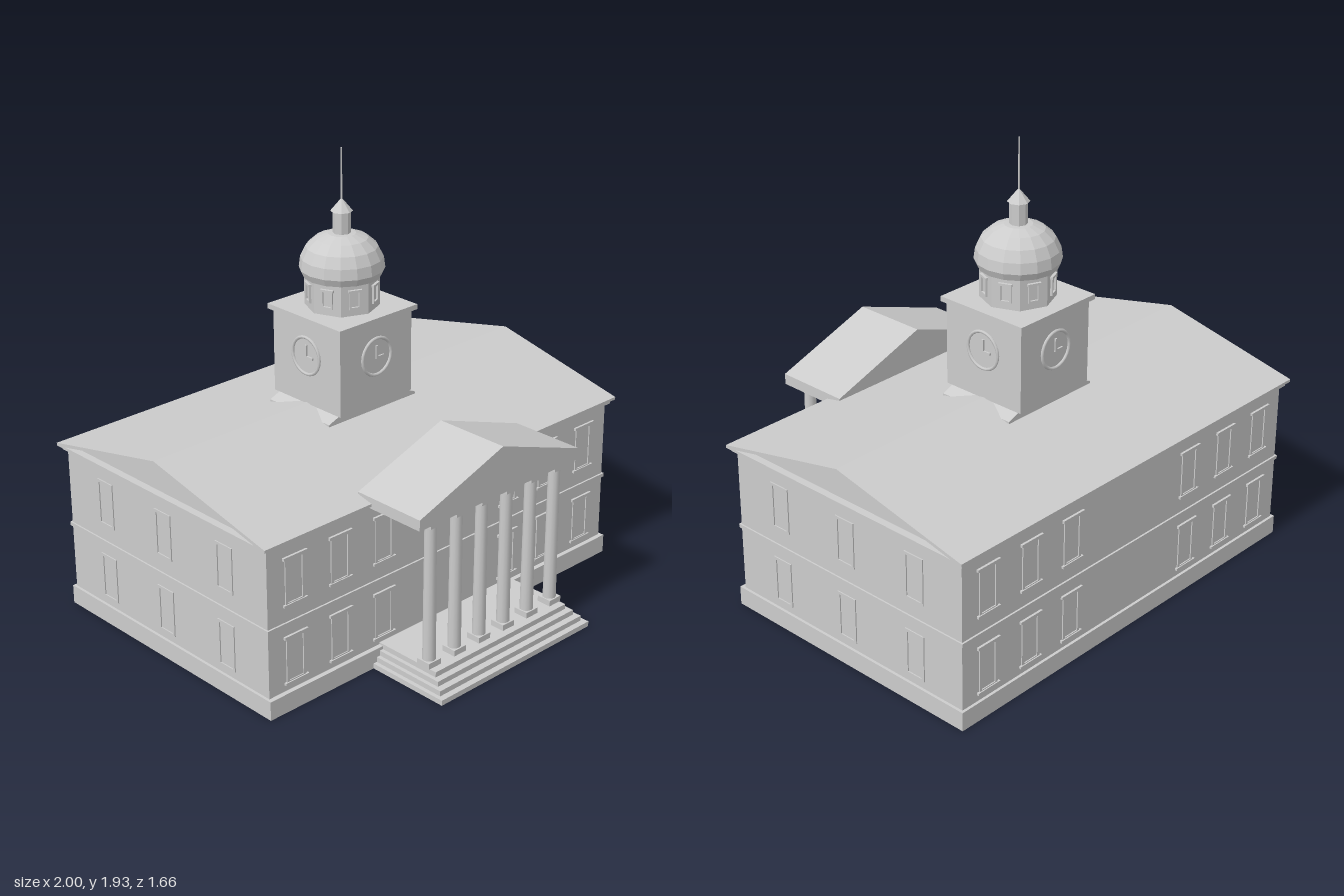
import * as THREE from 'three';

const CZ = -0.185; // z of ridge and tower axis

export function createModel() {
  const root = new THREE.Group();
  root.name = 'courthouse';
  const stone = new THREE.MeshStandardMaterial({ color: 0xcccccc });
  stone.name = 'pale stone';

  const add = (name, geo, x = 0, y = 0, z = 0, parent = root) => {
    const mesh = new THREE.Mesh(geo, stone);
    mesh.name = name;
    mesh.position.set(x, y, z);
    parent.add(mesh);
    return mesh;
  };
  // box given by its ranges
  const block = (name, x0, x1, y0, y1, z0, z1, parent = root) =>
    add(name, new THREE.BoxGeometry(x1 - x0, y1 - y0, z1 - z0),
      (x0 + x1) / 2, (y0 + y1) / 2, (z0 + z1) / 2, parent);
  const flat = (geo) => {
    const g = geo.toNonIndexed();
    g.computeVertexNormals();
    return g;
  };
  const prism = (points, depth) => new THREE.ExtrudeGeometry(
    new THREE.Shape(points.map((p) => new THREE.Vector2(...p))), { depth, bevelEnabled: false });
  const group = (name, x, y, z, turn = 0) => {
    const g = new THREE.Group();
    g.name = name;
    g.position.set(x, y, z);
    g.rotation.y = turn;
    root.add(g);
    return g;
  };

  // main body
  block('base', -0.98, 0.98, 0, 0.082, -0.812, 0.45);
  block('walls', -0.968, 0.968, 0.08, 0.72, -0.8, 0.43);
  block('floorBand', -0.975, 0.975, 0.368, 0.384, -0.808, 0.438);
  block('cornice', -0.983, 0.983, 0.718, 0.738, -0.817, 0.447);
  block('eaves', -1, 1, 0.735, 0.745, -0.83, 0.46);

  // gable infill and roof slopes, profiles drawn across the depth
  const gable = prism([[-0.62, 0.74], [0.62, 0.74], [0, 0.88]], 1.936);
  add('gableWalls', gable, -0.968, 0, CZ).rotation.y = Math.PI / 2;
  const roof = prism([[-0.645, 0.74], [-0.61, 0.74], [0, 0.876], [0.61, 0.74], [0.645, 0.74],
    [0.645, 0.747], [0, 0.887], [-0.645, 0.747]], 2);
  add('roof', roof, -1, 0, CZ).rotation.y = Math.PI / 2;

  // windows: raised frame, lintel and sill
  const addWindow = (x, y, z, turn, trim) => {
    const w = group('window', x, y, z, turn);
    for (const s of [-1, 1]) block('jamb', s * 0.043 - 0.006, s * 0.043 + 0.006, 0, 0.2, -0.01, 0.005, w);
    block('frameTop', -0.049, 0.049, 0.19, 0.202, -0.01, 0.005, w);
    block('frameBottom', -0.049, 0.049, 0, 0.01, -0.01, 0.005, w);
    if (trim) {
      block('lintel', -0.06, 0.06, 0.196, 0.208, -0.01, 0.01, w);
      block('sill', -0.06, 0.06, -0.004, 0.006, -0.01, 0.01, w);
    }
  };
  for (const y of [0.115, 0.455]) {
    for (const s of [-1, 1]) {
      for (const x of [0.36, 0.595, 0.83]) {
        addWindow(s * x, y, 0.43, 0, true);
        addWindow(s * x, y, -0.8, Math.PI, true);
      }
      for (const dz of [-0.37, 0, 0.37]) addWindow(s * 0.968, y, CZ + dz, s * Math.PI / 2, false);
    }
  }

  // portico: steps, columns and pediment
  [[0.435, 0.83], [0.417, 0.803], [0.4, 0.774], [0.383, 0.745]].forEach(([hx, z], i) =>
    block('step', -hx, hx, i * 0.0225, (i + 1) * 0.0225, 0.43, z));
  for (let i = 0; i < 6; i++) {
    const x = -0.355 + i * 0.142;
    block('columnPlinth', x - 0.033, x + 0.033, 0.09, 0.115, 0.647, 0.713);
    add('column', new THREE.CylinderGeometry(0.025, 0.028, 0.592, 12), x, 0.41, 0.68);
    block('columnCapital', x - 0.031, x + 0.031, 0.704, 0.726, 0.649, 0.711);
  }
  add('pediment', prism([[-0.455, 0.725], [0.455, 0.725], [0.455, 0.772], [0, 0.93], [-0.455, 0.772]], 0.335), 0, 0, 0.385);

  // clock tower
  add('towerFoot', prism([[-0.245, 0.8], [0.245, 0.8], [0.245, 0.857], [0, 0.95], [-0.245, 0.857]], 0.36), 0, 0, CZ - 0.18);
  block('tower', -0.2, 0.2, 0.882, 1.247, CZ - 0.2, CZ + 0.2);
  block('towerCornice', -0.217, 0.217, 1.245, 1.267, CZ - 0.217, CZ + 0.217);
  for (let i = 0; i < 4; i++) {
    const clock = group('clock', 0, 1.095, CZ, i * Math.PI / 2);
    add('clockRing', new THREE.TorusGeometry(0.08, 0.007, 6, 24), 0, 0, 0.203, clock);
    block('minuteHand', -0.005, 0.005, -0.005, 0.047, 0.195, 0.207, clock);
    block('hourHand', -0.005, 0.04, -0.01, 0, 0.195, 0.207, clock);
  }

  // octagonal drum with framed openings
  add('drum', flat(new THREE.CylinderGeometry(0.155, 0.155, 0.16, 8)), 0, 1.345, CZ);
  for (let i = 0; i < 8; i++) {
    const w = group('drumWindow', 0, 1.297, CZ, (i + 0.5) * Math.PI / 4);
    for (const s of [-1, 1]) block('jamb', s * 0.021 - 0.004, s * 0.021 + 0.004, 0, 0.08, 0.138, 0.152, w);
    block('head', -0.029, 0.029, 0.072, 0.082, 0.138, 0.155, w);
    block('sill', -0.025, 0.025, 0, 0.008, 0.138, 0.152, w);
  }

  // dome, lantern and spire
  const dome = [[0, 1.4], [0.163, 1.4], [0.176, 1.43], [0.17, 1.475], [0.148, 1.52], [0.108, 1.556],
    [0.058, 1.575], [0, 1.578]].map((p) => new THREE.Vector2(...p));
  add('dome', flat(new THREE.LatheGeometry(dome, 16)), 0, 0, CZ);
  add('lantern', flat(new THREE.CylinderGeometry(0.037, 0.037, 0.1, 8)), 0, 1.62, CZ);
  add('lanternRoof', flat(new THREE.ConeGeometry(0.046, 0.055, 8)), 0, 1.695, CZ);
  add('spire', new THREE.CylinderGeometry(0.003, 0.004, 0.225, 6), 0, 1.818, CZ);
  return root;
}
